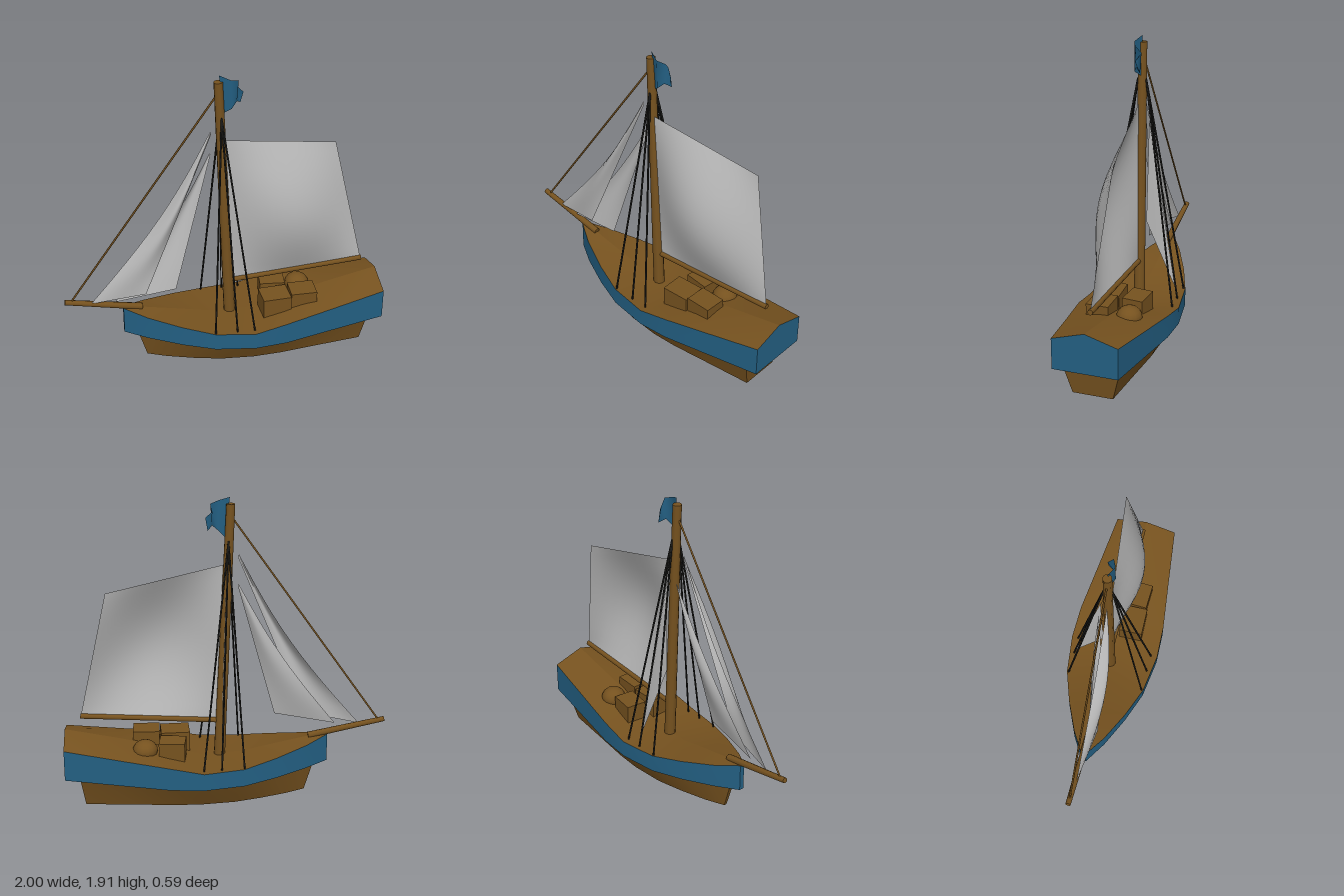
import * as THREE from 'three';

const mat = (name, color, side = THREE.DoubleSide) => {
  const m = new THREE.MeshStandardMaterial({ color, side });
  m.name = name;
  return m;
};
const V = (x, y, z) => new THREE.Vector3(x, y, z);

// Surface through rows of points
function surface(rows) {
  const n = rows[0].length, index = [];
  for (let i = 0; i < rows.length - 1; i++) {
    for (let j = 0; j < n - 1; j++) {
      const a = i * n + j, b = a + n;
      index.push(a, b, a + 1, b, b + 1, a + 1);
    }
  }
  const g = new THREE.BufferGeometry().setFromPoints(rows.flat());
  g.setIndex(index);
  g.computeVertexNormals();
  return g;
}

// Cloth panel between four corners with a belly in z and a hollow leading edge in x
function cloth(footA, footB, headA, headB, belly, hollow = 0, n = 12) {
  const rows = [];
  for (let i = 0; i <= n; i++) {
    const v = i / n, a = footA.clone().lerp(headA, v), b = footB.clone().lerp(headB, v);
    a.x += hollow * Math.sin(Math.PI * v);
    const row = [];
    for (let j = 0; j <= n; j++) {
      const u = j / n, p = a.clone().lerp(b, u);
      p.z += belly * Math.sin(Math.PI * u) * Math.sin(Math.PI * v);
      row.push(p);
    }
    rows.push(row);
  }
  return surface(rows);
}

// Round bar between two points
function bar(a, b, r0, r1 = r0, sides = 8) {
  const d = b.clone().sub(a);
  const g = new THREE.CylinderGeometry(r1, r0, d.length(), sides);
  g.applyQuaternion(new THREE.Quaternion().setFromUnitVectors(V(0, 1, 0), d.normalize()));
  const c = a.clone().add(b).multiplyScalar(0.5);
  return g.translate(c.x, c.y, c.z);
}

// Hull stations: x, rail height, band bottom, half width, deck centre height
const STATIONS = [
  [-0.64, 0.38, 0.2, 0.015, 0.385],
  [-0.5, 0.345, 0.19, 0.1, 0.362],
  [-0.3, 0.305, 0.172, 0.19, 0.32],
  [-0.1, 0.27, 0.157, 0.26, 0.275],
  [0.15, 0.26, 0.15, 0.293, 0.262],
  [0.35, 0.3, 0.156, 0.285, 0.312],
  [0.65, 0.345, 0.178, 0.245, 0.385],
  [1, 0.4, 0.205, 0.2, 0.46],
];

export function createModel() {
  const model = new THREE.Group();
  const wood = mat('brown wood', 0x76521f);
  const paint = mat('blue paint', 0x235f82);
  const canvas = mat('grey canvas', 0xb6b6b6);
  const rope = mat('black rope', 0x1a1a18);
  const add = (name, geometry, material) => {
    const m = new THREE.Mesh(geometry, material);
    m.name = name;
    model.add(m);
    return m;
  };

  // Hull lines, by side (s = 1 or -1)
  const remap = (x, a, b) => a + ((x + 0.64) / 1.64) * (b - a);
  const rail = s => STATIONS.map(([x, top, , w]) => V(x, top, s * w));
  const bandFoot = s => STATIONS.map(([x, , low, w]) => V(x, low, s * w));
  const bilge = s => STATIONS.map(([x, , low, w]) => V(remap(x, -0.56, 0.91), low + 0.005, s * w * 0.9));
  const keel = s => STATIONS.map(([x, , , w]) => V(remap(x, -0.5, 0.88), 0, s * w * 0.62));
  const ridge = STATIONS.map(([x, , , , mid]) => V(x, mid, 0));
  const last = STATIONS.length - 1;

  for (const s of [1, -1]) {
    add('hullBand', surface([rail(s), bandFoot(s)]), paint);
    add('bandUnderside', surface([bandFoot(s), bilge(s)]), wood);
    add('lowerHull', surface([bilge(s), keel(s)]), wood);
    add('deck', surface([ridge, rail(s)]), wood);
  }
  add('hullBottom', surface([keel(1), keel(-1)]), wood);

  // Flat ends at bow and stern
  for (const i of [0, last]) {
    const pair = f => [f(1)[i], f(-1)[i]];
    const foot = pair(bandFoot);
    const middle = foot[0].clone().lerp(foot[1], 0.5);
    add(i ? 'transom' : 'stemBand', surface([
      [rail(1)[i], ridge[i], rail(-1)[i]], [foot[0], middle, foot[1]],
    ]), paint);
    add('endUnderside', surface([foot, pair(bilge)]), wood);
    add('lowerEnd', surface([pair(bilge), pair(keel)]), wood);
  }

  // Spars
  add('mast', bar(V(0.04, 0.24, 0), V(-0.03, 1.87, 0), 0.036, 0.027, 10), wood);
  add('bowsprit', bar(V(-1, 0.468, 0), V(-0.52, 0.37, 0), 0.017, 0.022), wood);
  add('boom', bar(V(0.04, 0.492, 0), V(0.9, 0.545, 0), 0.017), wood);
  add('forestay', bar(V(-0.955, 0.475, 0), V(-0.03, 1.8, 0), 0.006, 0.006, 6), wood);

  // Sails
  add('mainsail', cloth(V(0.06, 0.505, 0), V(0.895, 0.555, 0), V(0.01, 1.495, 0.015), V(0.72, 1.36, -0.08), 0.13), canvas);
  add('outerJib', cloth(V(-0.84, 0.44, 0.01), V(-0.5, 0.5, 0.06), V(-0.08, 1.56, 0.01), V(-0.075, 1.54, 0.01), 0.055, 0.06), canvas);
  add('innerJib', cloth(V(-0.69, 0.44, 0.02), V(-0.31, 0.505, 0.05), V(-0.075, 1.39, -0.04), V(-0.07, 1.38, -0.04), -0.03, 0.04), canvas);
  add('sideCloth', cloth(V(0.035, 0.35, -0.23), V(0.04, 0.36, -0.225), V(0, 1.4, -0.05), V(0.02, 0.75, -0.04), 0), canvas);

  // Shrouds on both sides
  for (const s of [1, -1]) {
    for (const x of [-0.1, 0.04, 0.15]) {
      add('shroud', bar(V(x, 0.26, s * 0.25), V(-0.015, 1.65, s * 0.025), 0.006, 0.006, 6), rope);
    }
  }

  // Ragged flag, rippled in z
  const upper = [[-0.025, 1.91], [0.04, 1.885], [0.09, 1.87], [0.08, 1.83], [0.12, 1.79]];
  const lower = [[0.005, 1.67], [0.045, 1.705], [0.08, 1.74], [0.108, 1.715], [0.115, 1.77]];
  const ripple = [0, 0.028, 0.005, -0.028, -0.005];
  add('flag', surface([upper, lower].map(r => r.map(([x, y], i) => V(x, y, ripple[i])))), paint);

  // Cargo: width, height, depth, x, y, z, turn
  const crates = [
    [0.18, 0.15, 0.15, 0.315, 0.333, 0.085, 0.03],
    [0.165, 0.14, 0.14, 0.495, 0.35, 0.08, -0.03],
    [0.16, 0.14, 0.13, 0.335, 0.335, -0.09, -0.12],
  ];
  for (const [w, h, d, x, y, z, turn] of crates) {
    const c = add('crate', new THREE.BoxGeometry(w, h, d), wood);
    c.position.set(x, y, z);
    c.rotation.y = turn;
  }
  const sack = add('sack', new THREE.SphereGeometry(0.078, 14, 10), wood);
  sack.position.set(0.505, 0.345, -0.095);
  sack.scale.y = 0.85;

  return model;
}
